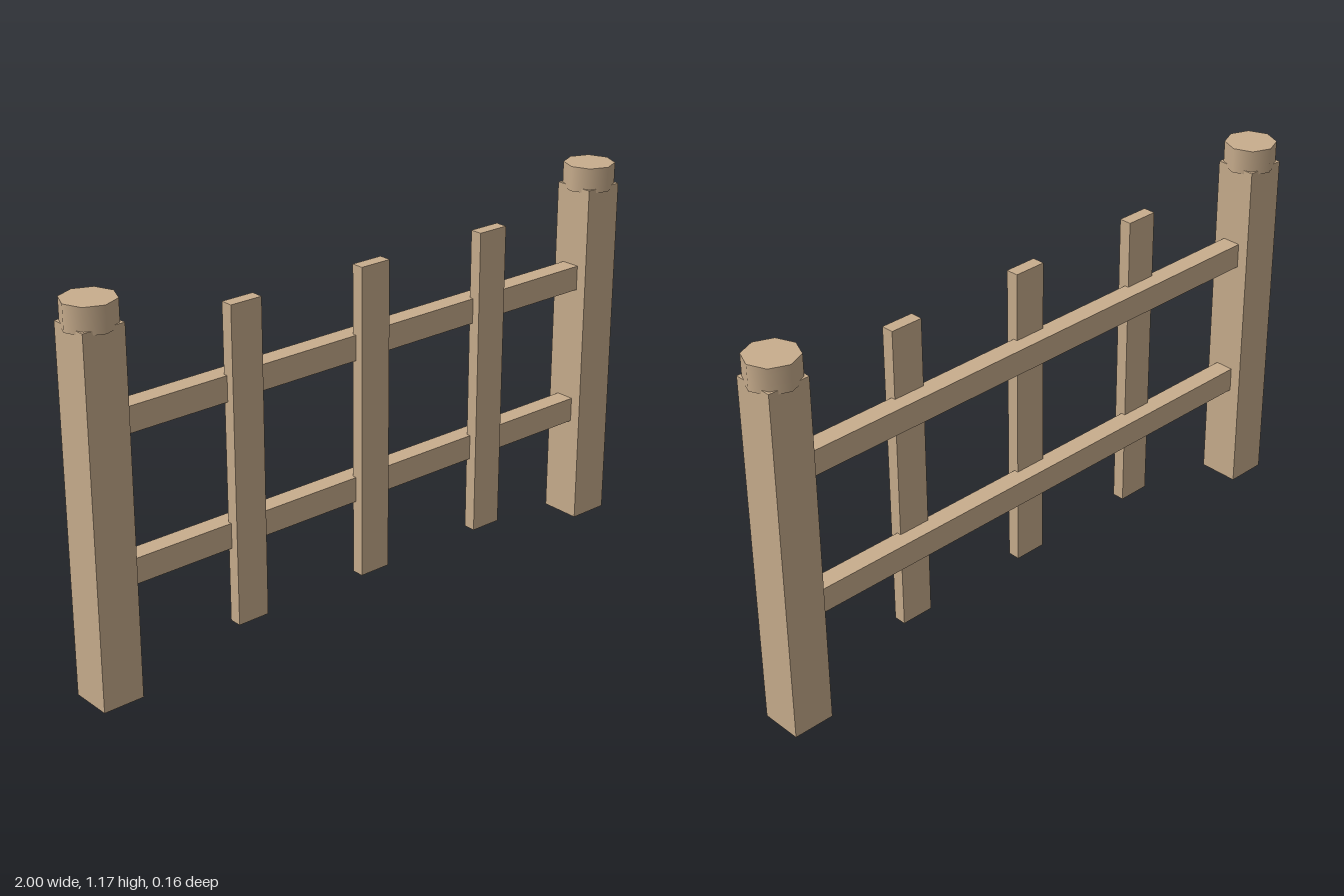
import * as THREE from 'three';

export function createModel() {
  const group = new THREE.Group();
  group.name = 'fence';
  const wood = new THREE.MeshStandardMaterial({ color: 0xc8ad8d });
  wood.name = 'tanWood';

  const add = (name, geometry, x, y, z) => {
    const mesh = new THREE.Mesh(geometry, wood);
    mesh.name = name;
    mesh.position.set(x, y, z);
    group.add(mesh);
  };

  // Square end posts with octagonal caps sunk slightly into their tops
  const postHeight = 1.108;
  const post = new THREE.BoxGeometry(0.13, postHeight, 0.13);
  const cap = new THREE.CylinderGeometry(0.079, 0.079, 0.078, 8);
  for (const [side, x] of [['left', 0.921], ['right', -0.921]]) {
    add(side + 'Post', post, x, postHeight / 2, 0);
    add(side + 'PostCap', cap, x, 1.135, 0);
  }

  // Horizontal rails running from post to post
  const rail = new THREE.BoxGeometry(1.842, 0.078, 0.06);
  add('lowerRail', rail, 0, 0.371, 0);
  add('upperRail', rail, 0, 0.818, 0);

  // Upright pickets set into the front of the rails
  const picket = new THREE.BoxGeometry(0.104, 0.972, 0.039);
  for (const [side, x] of [['right', -0.46], ['middle', 0], ['left', 0.46]]) {
    add(side + 'Picket', picket, x, 0.582, 0.036);
  }

  return group;
}
